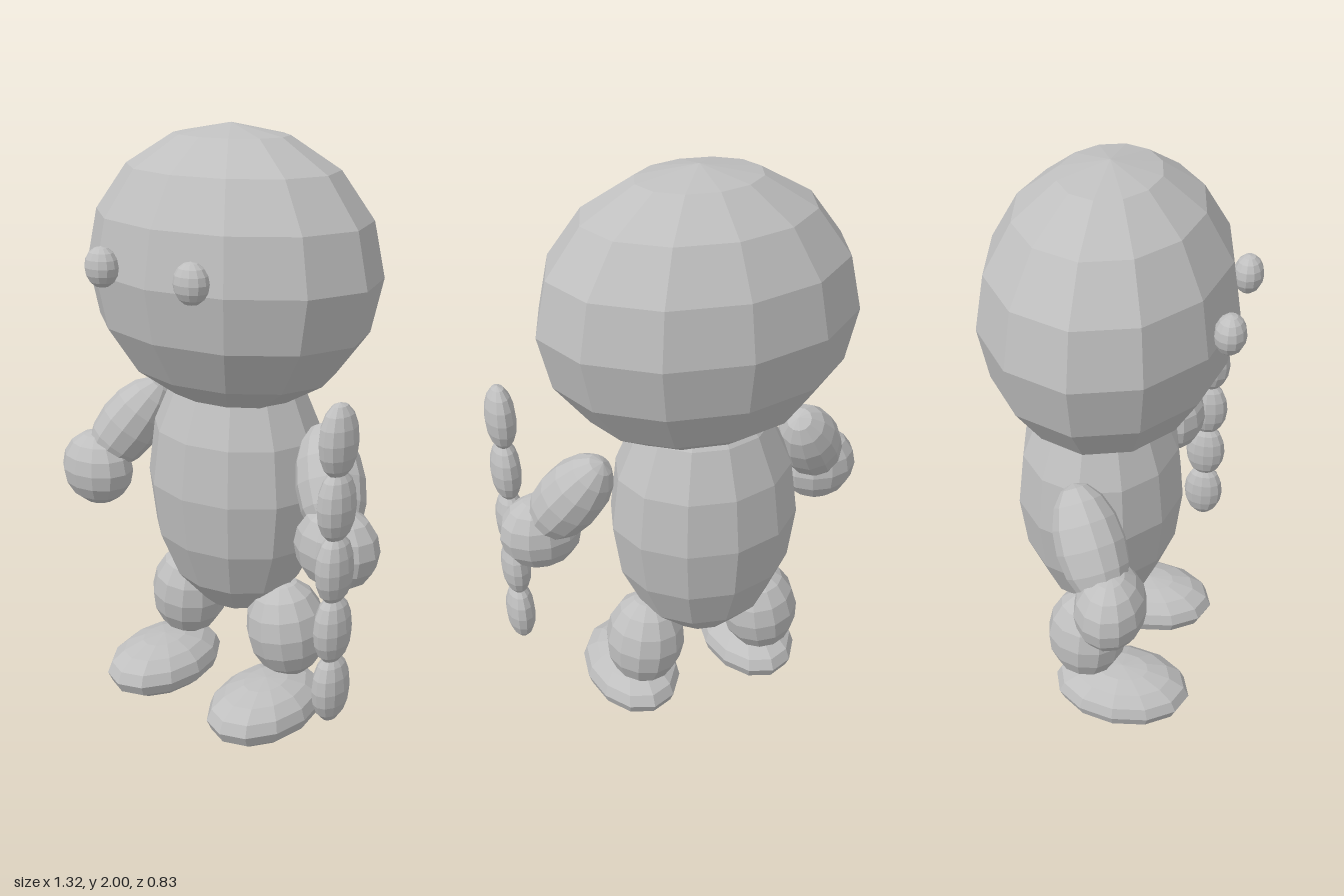
import * as THREE from 'three';

const UP = new THREE.Vector3(0, 1, 0);

export function createModel() {
  const model = new THREE.Group();
  model.name = 'figure';
  const grey = new THREE.MeshStandardMaterial({ color: 0xbfbfbf, flatShading: true });
  grey.name = 'plain grey';
  const ball = new THREE.SphereGeometry(1, 12, 8);

  // Faceted ellipsoid; axis is the direction its own y points to
  function blob(name, position, radii, axis, parent = model) {
    const mesh = new THREE.Mesh(ball, grey);
    mesh.name = name;
    mesh.position.set(...position);
    mesh.scale.set(...radii);
    if (axis) mesh.quaternion.setFromUnitVectors(UP, new THREE.Vector3(...axis).normalize());
    parent.add(mesh);
  }

  // Head and body
  blob('head', [0, 1.55, -0.02], [0.515, 0.45, 0.395]);
  blob('body', [0, 0.835, -0.055], [0.32, 0.483, 0.28]);

  // Mirrored parts
  for (const [side, s] of [['left', 1], ['right', -1]]) {
    blob(side + 'Eye', [s * 0.18, 1.593, 0.37], [0.057, 0.063, 0.048]);
    blob(side + 'Arm', [s * 0.435, 0.943, 0.02], [0.11, 0.2, 0.11], [-s * 0.58, 1, -0.5]);
    blob(side + 'Hand', [s * 0.52, 0.785, 0.1], [0.14, 0.135, 0.113]);
    blob(side + 'Leg', [s * 0.22, 0.34, -0.055], [0.138, 0.175, 0.14], [-s * 0.12, 1, 0.04]);
    blob(side + 'Foot', [s * 0.233, 0.103, 0.072], [0.165, 0.1, 0.243]);
  }

  // Segmented stick beside the left hand
  const stick = new THREE.Group();
  stick.name = 'stick';
  for (let i = 0; i < 5; i++) {
    blob('stickSegment', [0.592, 0.38 + i * 0.199, 0.212], [0.05, 0.115, 0.075], null, stick);
  }
  model.add(stick);

  return model;
}
